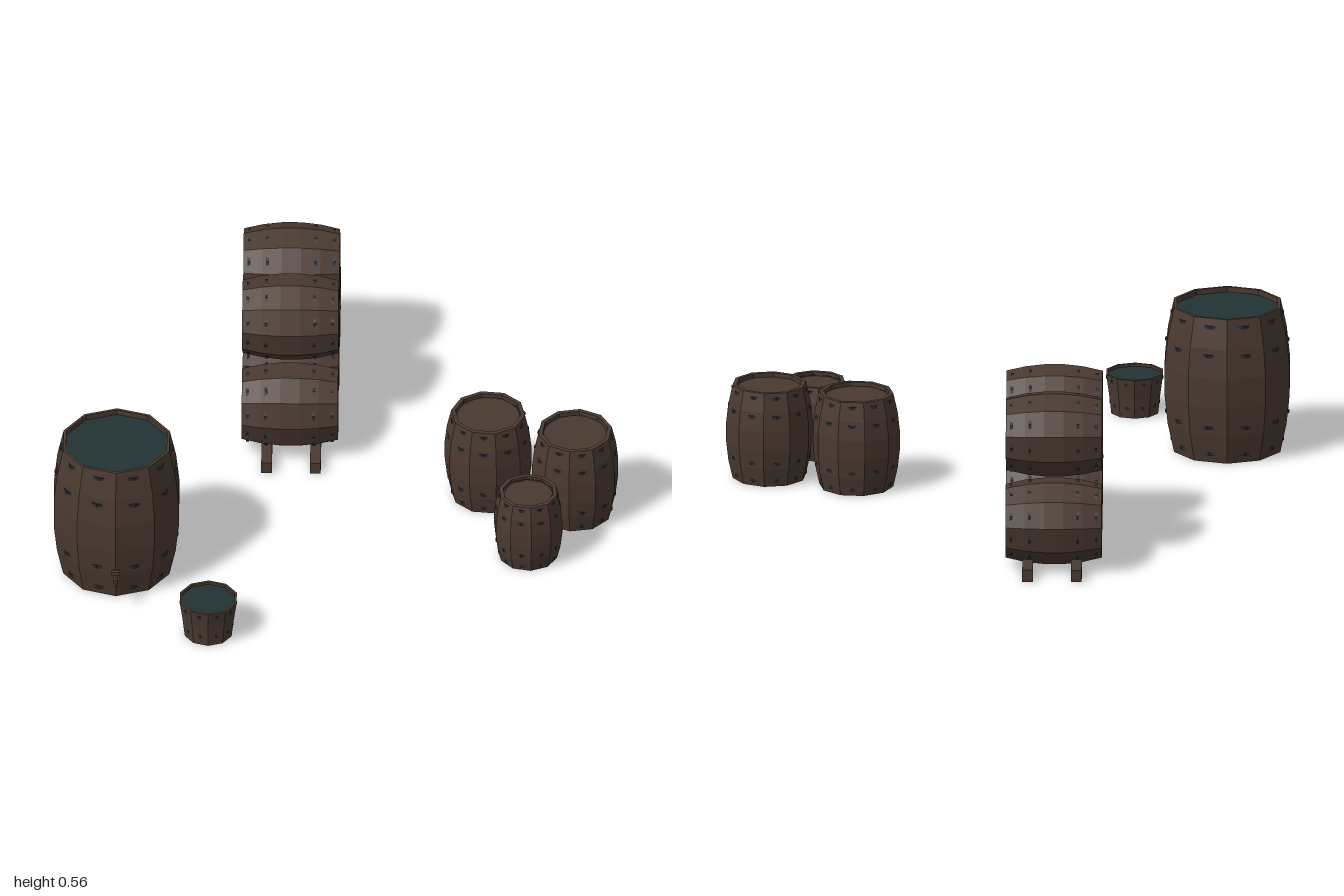
import * as THREE from 'three';

const mat = (name, color, flat = true) => {
  const m = new THREE.MeshStandardMaterial({ color, flatShading: flat });
  m.name = name;
  return m;
};
const wood = mat('darkWood', 0x4a3a30);
const iron = mat('blackIron', 0x262d34);
const water = mat('water', 0x223233);
const SIDES = 10;

function mesh(name, geometry, material, parent) {
  const m = new THREE.Mesh(geometry, material);
  m.name = name;
  parent.add(m);
  return m;
}

const lathe = (pts) => new THREE.LatheGeometry(pts.map(([r, y]) => new THREE.Vector2(r, y)), SIDES);

// Outer radius along a list of [radius, height] points
function radiusAt(curve, y) {
  for (let i = 1; i < curve.length; i++) {
    const [r0, y0] = curve[i - 1], [r1, y1] = curve[i];
    if (y <= y1) return r0 + (r1 - r0) * (y - y0) / (y1 - y0);
  }
  return curve[curve.length - 1][0];
}

// Staved vessel: hollow rims at both ends, recessed heads and iron hoops
function vessel(name, curve, { rim, inset, hoops, filled }) {
  const g = new THREE.Group();
  g.name = name;
  const h = curve[curve.length - 1][1];
  const bottom = curve[0][0] - rim, top = curve[curve.length - 1][0] - rim;
  mesh('staves', lathe([
    [0, inset], [bottom, inset], [bottom, 0], ...curve,
    [top, h], [top, h - inset], [0, h - inset],
  ]), wood, g);

  // Hoops are turned half a side, so they show across the middle of each stave
  for (const f of hoops) {
    const y = f * h, t = 0.005;
    const r = radiusAt(curve, y) * 0.982;
    const hoop = mesh('hoop', lathe([[r - 0.02, y - t], [r, y - t], [r, y + t], [r - 0.02, y + t]]), iron, g);
    hoop.rotation.y = Math.PI / SIDES;
  }

  if (filled) {
    const surface = mesh('waterSurface', new THREE.CircleGeometry(top, SIDES), water, g);
    surface.rotation.x = -Math.PI / 2;
    surface.rotation.z = Math.PI / 2;
    surface.position.y = h - inset + 0.004;
  }
  return g;
}

// Bulging barrel of greatest radius r and height h
function barrel(name, r, h, options = {}) {
  const curve = [[0.85, 0], [0.95, 0.2], [1, 0.4], [1, 0.6], [0.95, 0.8], [0.85, 1]]
    .map(([a, b]) => [a * r, b * h]);
  return vessel(name, curve, { rim: 0.014, inset: 0.015, hoops: [0.06, 0.25, 0.75, 0.94], ...options });
}

export function createModel() {
  const model = new THREE.Group();
  model.name = 'barrelYard';
  const add = (part, x, y, z, turn = 0) => {
    part.position.set(x, y, z);
    part.rotation.y = turn;
    model.add(part);
    return part;
  };

  // Large open water barrel with a tap at the front
  const butt = add(barrel('waterBarrel', 0.222, 0.51, { rim: 0.01, inset: 0.022, filled: true }), -0.74, 0, 0.5);
  const spout = mesh('tapSpout', new THREE.CylinderGeometry(0.008, 0.011, 0.08, 6), wood, butt);
  spout.rotation.x = Math.PI / 2;
  spout.position.set(0, 0.12, 0.235);
  const nozzle = mesh('tapNozzle', new THREE.CylinderGeometry(0.01, 0.008, 0.028, 6), wood, butt);
  nozzle.position.set(0, 0.11, 0.262);
  const key = mesh('tapKey', new THREE.BoxGeometry(0.03, 0.012, 0.012), wood, butt);
  key.position.set(0, 0.136, 0.245);

  // Bucket filled with water
  add(vessel('bucket', [[0.083, 0], [0.091, 0.07], [0.101, 0.14]],
    { rim: 0.008, inset: 0.014, hoops: [0.25, 0.87], filled: true }), -0.425, 0, 0.89);

  // Group of three standing barrels
  add(barrel('standingBarrel', 0.148, 0.33), 0.51, 0, 0.07, 0.2);
  add(barrel('standingBarrel', 0.148, 0.33), 0.805, 0, 0.17, 0.5);
  add(barrel('smallBarrel', 0.118, 0.26), 0.65, 0, 0.425, 0.1);

  // Stack of lying barrels
  [[0.155, -0.215], [0.155, -0.51], [0.155, -0.805], [0.415, -0.36], [0.415, -0.655]].forEach(([y, z], i) => {
    const b = add(barrel('lyingBarrel', 0.147, 0.325), -0.325, y, z);
    b.rotation.set(0, i * 0.37, -Math.PI / 2, 'ZYX');
  });

  // Rails below the stack
  for (const x of [-0.24, -0.075]) {
    const rail = mesh('rail', new THREE.BoxGeometry(0.036, 0.042, 0.97), wood, model);
    rail.position.set(x, 0.021, -0.515);
  }
  return model;
}
